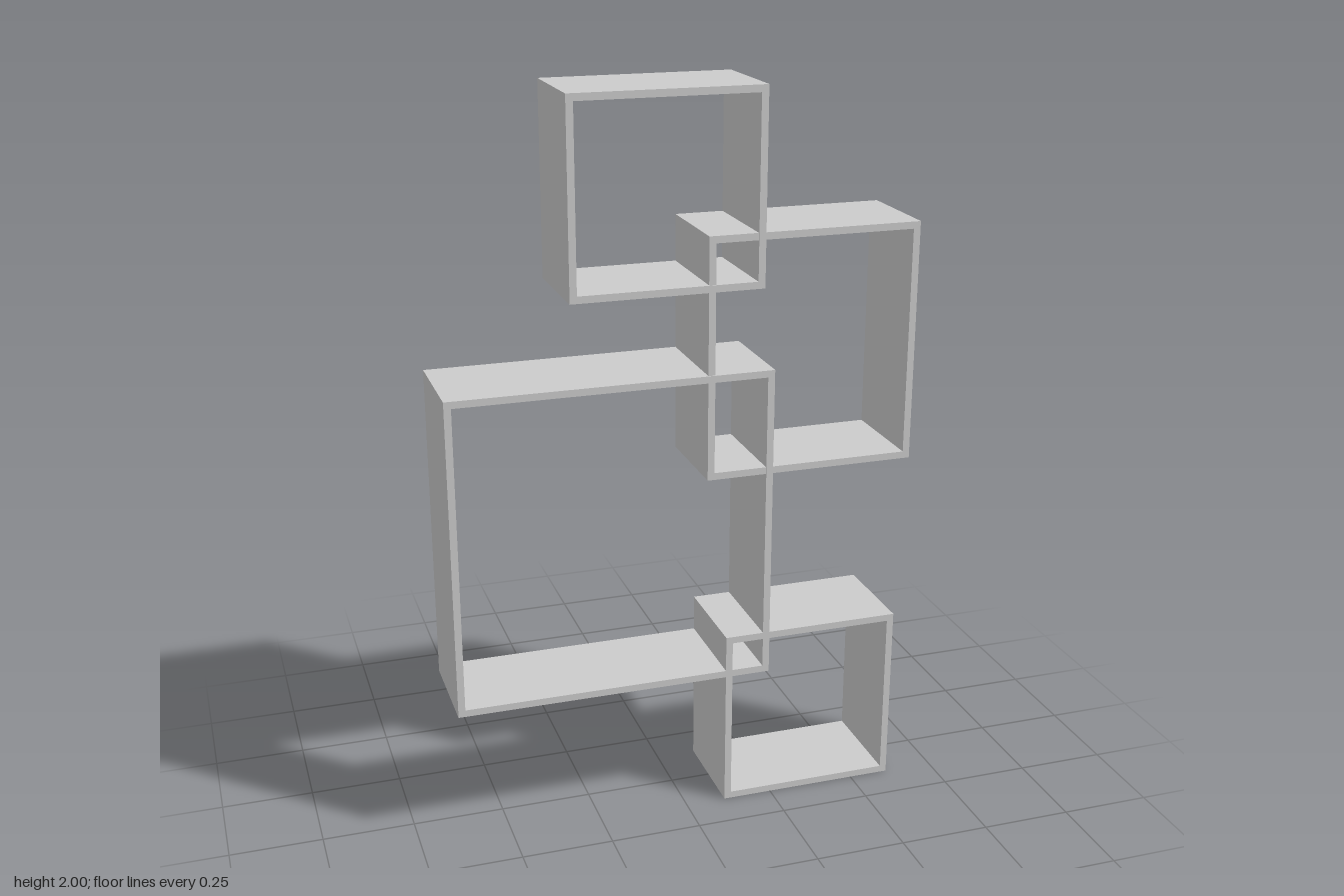
import * as THREE from 'three';

const WALL = 0.019;
const BACK = -0.14;

// Open rectangular box frame: a rectangle with a rectangular hole, extruded in z
function makeFrame(name, x0, x1, y0, y1, front, material) {
  const rect = (Type, inset) => {
    const a = x0 + inset, b = x1 - inset, c = y0 + inset, d = y1 - inset;
    return new Type([[a, c], [b, c], [b, d], [a, d]].map(([x, y]) => new THREE.Vector2(x, y)));
  };
  const shape = rect(THREE.Shape, 0);
  shape.holes.push(rect(THREE.Path, WALL));
  const geometry = new THREE.ExtrudeGeometry(shape, { depth: front - BACK, bevelEnabled: false });
  geometry.translate(0, 0, BACK);
  const mesh = new THREE.Mesh(geometry, material);
  mesh.name = name;
  return mesh;
}

export function createModel() {
  const group = new THREE.Group();
  group.name = 'interlockingCubeShelf';
  const material = new THREE.MeshStandardMaterial({ color: 0xcccccc });

  // Four shelf frames, overlapping at their corners: x range, y range, front z
  const frames = [
    ['topFrame', -0.31, 0.206, 1.485, 2, 0.14],
    ['upperRightFrame', 0.055, 0.636, 0.975, 1.63, 0.137],
    ['largeFrame', -0.636, 0.238, 0.387, 1.264, 0.14],
    ['bottomFrame', 0.112, 0.612, 0, 0.507, 0.14],
  ];
  for (const [name, x0, x1, y0, y1, front] of frames) {
    group.add(makeFrame(name, x0, x1, y0, y1, front, material));
  }
  return group;
}
